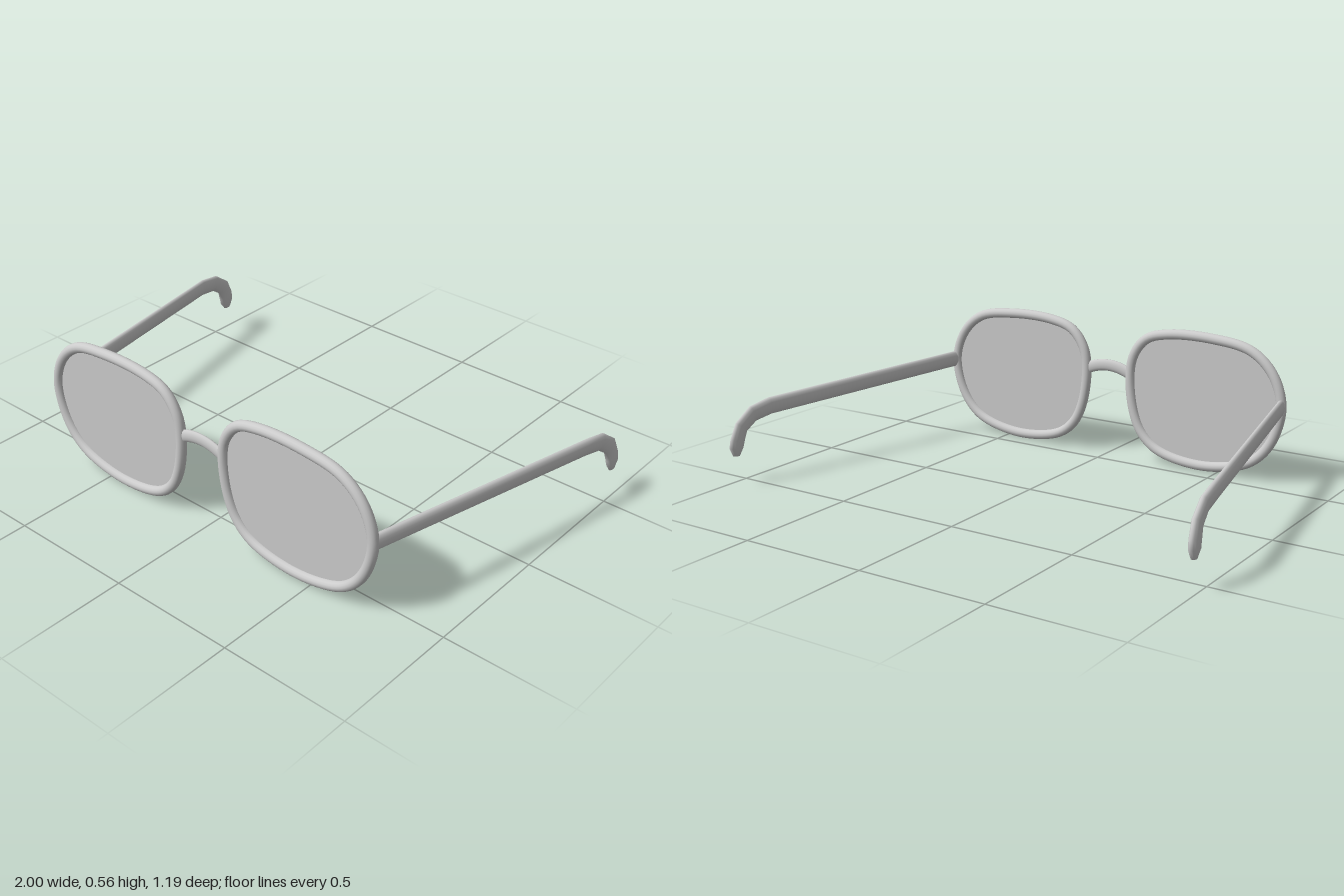
import * as THREE from 'three';

const material = new THREE.MeshStandardMaterial({ color: 0xcccccc });
const lensMaterial = new THREE.MeshStandardMaterial({ color: 0xcccccc, side: THREE.DoubleSide });
const FRONT_Z = 0.578;

// Centreline of one rim (left side), clockwise from the top
const RIM = [
  [0.47, 0.54], [0.63, 0.512], [0.72, 0.435], [0.762, 0.32], [0.742, 0.2],
  [0.69, 0.112], [0.615, 0.058], [0.43, 0.022], [0.24, 0.052], [0.165, 0.11],
  [0.122, 0.2], [0.103, 0.35], [0.12, 0.437], [0.175, 0.506], [0.275, 0.536],
];

// Temple sections: x, y, z, half thickness, half height
const TEMPLE = [
  [0.763, 0.31, 0.575, 0, 0],
  [0.764, 0.31, 0.57, 0.016, 0.033],
  [0.96, 0.279, -0.39, 0.016, 0.034],
  [0.97, 0.264, -0.475, 0.016, 0.034],
  [0.977, 0.222, -0.533, 0.016, 0.034],
  [0.981, 0.172, -0.553, 0.016, 0.036],
  [0.983, 0.143, -0.559, 0.015, 0.035],
  [0.983, 0.112, -0.561, 0.009, 0.016],
  [0.983, 0.109, -0.5615, 0, 0],
];

// Lofts elliptical sections along a path; thin is the direction of the first radius
function loft(sections, thin, sides = 14) {
  const points = sections.map(s => new THREE.Vector3(s[0], s[1], s[2]));
  const positions = [], index = [];
  points.forEach((p, i) => {
    const tangent = new THREE.Vector3();
    if (i > 0) tangent.add(p.clone().sub(points[i - 1]).normalize());
    if (i < points.length - 1) tangent.add(points[i + 1].clone().sub(p).normalize());
    tangent.normalize();
    const b = thin.clone().addScaledVector(tangent, -thin.dot(tangent)).normalize();
    const n = tangent.clone().cross(b);
    for (let j = 0; j < sides; j++) {
      const a = (j / sides) * Math.PI * 2;
      const v = p.clone()
        .addScaledVector(b, Math.cos(a) * sections[i][3])
        .addScaledVector(n, Math.sin(a) * sections[i][4]);
      positions.push(v.x, v.y, v.z);
      if (i < points.length - 1) {
        const k = i * sides + j, k1 = i * sides + (j + 1) % sides;
        index.push(k, k1, k + sides, k1, k1 + sides, k + sides);
      }
    }
  });
  const geometry = new THREE.BufferGeometry();
  geometry.setAttribute('position', new THREE.Float32BufferAttribute(positions, 3));
  geometry.setIndex(index);
  geometry.computeVertexNormals();
  return geometry;
}

export function createModel() {
  const model = new THREE.Group();
  model.name = 'glasses';
  const add = (name, geometry, mat = material) => {
    const mesh = new THREE.Mesh(geometry, mat);
    mesh.name = name;
    model.add(mesh);
  };

  for (const [side, s] of [['left', 1], ['right', -1]]) {
    // Round rim following the lens outline
    const curve = new THREE.CatmullRomCurve3(
      RIM.map(([x, y]) => new THREE.Vector3(s * x, y, FRONT_Z)), true, 'centripetal');
    add(side + 'Rim', new THREE.TubeGeometry(curve, 90, 0.02, 14, true));

    // Flat lens filling the rim
    const outline = curve.getPoints(60).slice(0, -1).map(p => new THREE.Vector2(p.x, p.y));
    const lens = new THREE.ShapeGeometry(new THREE.Shape(outline));
    lens.translate(0, 0, FRONT_Z);
    add(side + 'Lens', lens, lensMaterial);

    // Temple arm with hooked ear piece
    const sections = TEMPLE.map(([x, ...rest]) => [s * x, ...rest]);
    add(side + 'Temple', loft(sections, new THREE.Vector3(1, 0, 0)));
  }

  // Arched bridge between the rims
  const bridge = [];
  for (let i = 0; i <= 12; i++) {
    const t = i / 6 - 1;
    bridge.push([t * 0.1, 0.376 - 0.024 * t * t, FRONT_Z, 0.012, 0.024]);
  }
  add('bridge', loft(bridge, new THREE.Vector3(0, 0, 1)));

  return model;
}
